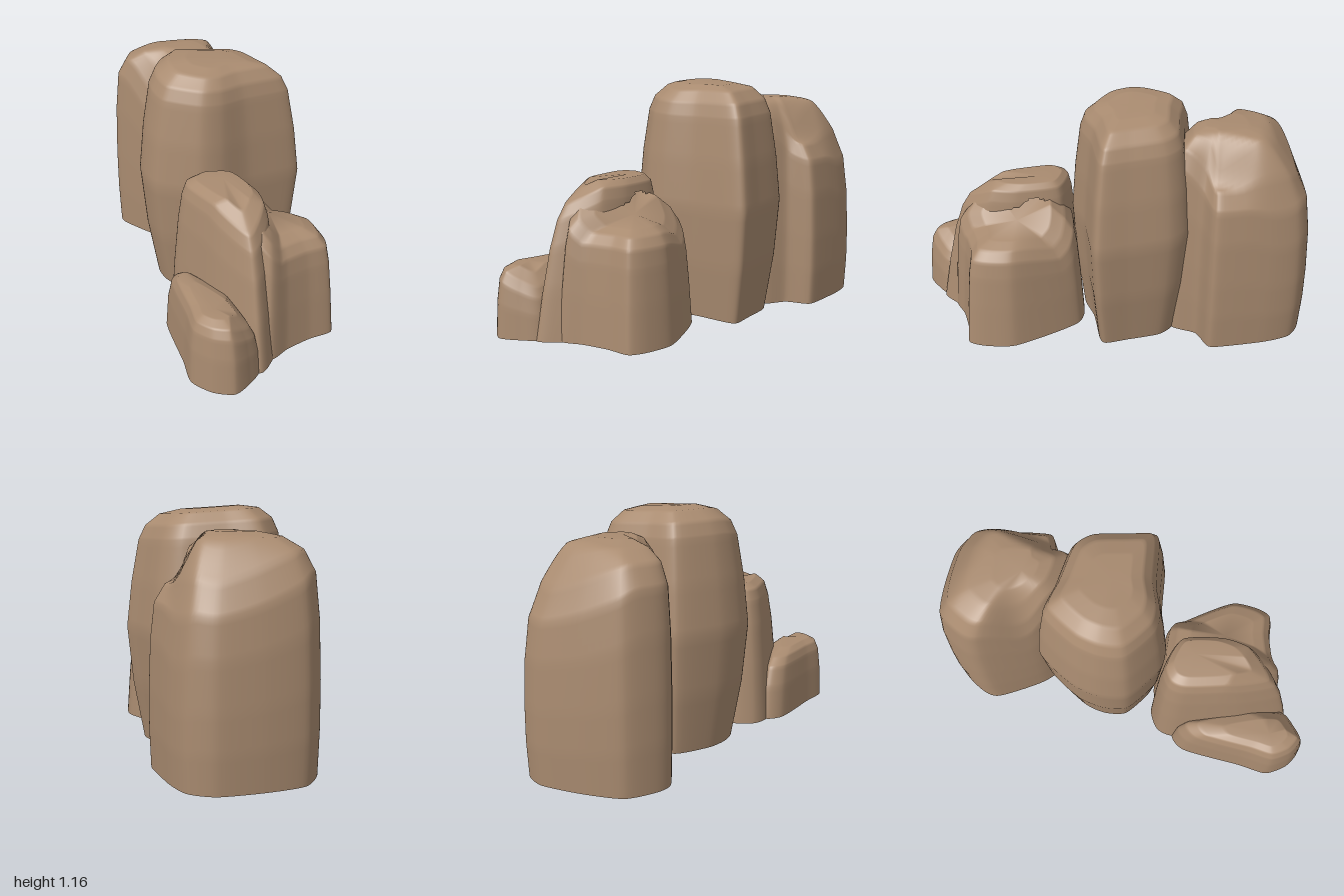
import * as THREE from 'three';

const SEGMENTS = 90;
const BAND_STEPS = 6;
const step = THREE.MathUtils.smoothstep;
const lerp = THREE.MathUtils.lerp;

// outline: plan [x, z]; profile: [height fraction, plan scale]; height: crown height at (x, z)
const rocks = {
  // Broad rear boulder, with a lower left shoulder and a neck running to the tall rock
  rearBoulder: {
    centre: [-0.13, -0.52],
    outline: [[-0.5, -0.58], [-0.52, -0.68], [-0.47, -0.83], [-0.3, -0.93], [-0.1, -1],
      [0.03, -0.97], [0.12, -0.85], [0.23, -0.62], [0.22, -0.57], [0.14, -0.5],
      [0.11, -0.36], [-0.1, -0.32], [-0.3, -0.4]],
    profile: [[0, 0.98], [0.2, 1], [0.4, 1], [0.65, 0.98], [0.84, 0.93],
      [0.93, 0.8], [0.98, 0.56], [1, 0.28]],
    height: (x, z) => 1.06 - 0.17 * step(x, -0.02, 0.14) * step(-z, 0.38, 0.58)
      - 0.22 * step(-z, 0.72, 1.04)
      - 0.22 * step(-x, 0.14, 0.36) * step(z, -0.58, -0.4),
  },
  // Tallest rock, bulging at mid height
  tallRock: {
    centre: [0, -0.12],
    outline: [[-0.1, 0.2], [-0.3, 0.13], [-0.37, 0], [-0.38, -0.15], [-0.31, -0.37],
      [-0.12, -0.4], [0.12, -0.44], [0.24, -0.38], [0.35, -0.2], [0.42, -0.08],
      [0.38, -0.03], [0.16, 0.07], [0.02, 0.17]],
    profile: [[0, 0.8], [0.25, 0.93], [0.5, 1], [0.7, 0.94], [0.88, 0.85],
      [0.94, 0.77], [0.985, 0.6], [1, 0.35]],
    height: (x, z) => 1.15 - 0.07 * x - 0.02 * step(z, -0.1, 0.1),
  },
  // Diagonal fin in front
  frontFin: {
    centre: [0.01, 0.33],
    outline: [[0.13, 0.85], [-0.05, 0.66], [-0.22, 0.38], [-0.23, 0.27], [-0.14, 0.19],
      [0.08, 0.2], [0.22, 0.44], [0.25, 0.62], [0.2, 0.77]],
    profile: [[0, 1.02], [0.4, 0.94], [0.7, 0.86], [0.88, 0.78], [0.96, 0.7], [1, 0.5]],
    height: (x, z) => 0.72 - 0.5 * Math.max(0, z - 0.54),
  },
  // Lower block leaning against the fin
  sideBlock: {
    centre: [0.22, 0.4],
    outline: [[0.29, 0.69], [0.19, 0.77], [0.05, 0.64], [-0.12, 0.22], [0.08, 0.1],
      [0.2, 0.09], [0.32, 0.18], [0.48, 0.34], [0.52, 0.48], [0.51, 0.57], [0.4, 0.62]],
    profile: [[0, 1], [0.4, 0.95], [0.7, 0.9], [0.86, 0.85], [0.95, 0.72], [1, 0.5]],
    height: (x, z) => 0.53 + Math.min(0.13, 1.2 * Math.max(0, 0.25 - x))
      - 0.07 * step(-z, -0.36, -0.12),
  },
  // Small rock at the very front
  frontStone: {
    centre: [-0.06, 0.82],
    outline: [[0.02, 1], [-0.08, 0.98], [-0.17, 0.9], [-0.2, 0.75], [-0.27, 0.45],
      [-0.21, 0.36], [-0.02, 0.58], [0.14, 0.82], [0.09, 0.93]],
    profile: [[0, 1], [0.5, 0.95], [0.8, 0.87], [0.93, 0.74], [1, 0.45]],
    height: (x) => 0.33 - 0.8 * Math.max(0, x),
  },
};

// Smooth closed plan, kept fairly straight between its corners
function makePlan(outline) {
  const points = outline.map(([x, z]) => new THREE.Vector3(x, 0, z));
  return new THREE.CatmullRomCurve3(points, true, 'catmullrom', 0.35)
    .getPoints(SEGMENTS).slice(0, SEGMENTS);
}

// Subdivided [height fraction, scale] rings
function makeRings(profile) {
  const rings = [profile[0]];
  for (let b = 1; b < profile.length; b++) {
    for (let k = 1; k <= BAND_STEPS; k++) {
      rings.push([0, 1].map((c) => lerp(profile[b - 1][c], profile[b][c], k / BAND_STEPS)));
    }
  }
  return rings;
}

// Whether a point lies within a rock's solid
function contains({ centre, plan, rings, height }, x, y, z) {
  const t = y / height(x, z);
  const k = rings.findIndex((ring) => ring[0] >= t);
  if (k < 0) return false;
  const s = rings[k][1];
  const px = centre[0] + (x - centre[0]) / s;
  const pz = centre[1] + (z - centre[1]) / s;
  let inside = false;
  plan.forEach((a, i) => {
    const b = plan[(i + 1) % SEGMENTS];
    if ((a.z > pz) !== (b.z > pz) && px < a.x + ((b.x - a.x) * (pz - a.z)) / (b.z - a.z)) {
      inside = !inside;
    }
  });
  return inside;
}

// Lofts the rings, then removes faces buried in neighbouring rocks so the shells join
function makeGeometry(solid, neighbours) {
  const { centre: [cx, cz], plan, rings, height } = solid;
  const positions = [];
  const indices = [];
  for (const [t, s] of rings) {
    for (const p of plan) {
      const x = cx + (p.x - cx) * s;
      const z = cz + (p.z - cz) * s;
      positions.push(x, t * height(x, z), z);
    }
  }
  const apex = positions.length / 3;
  positions.push(cx, height(cx, cz), cz);
  for (let r = 0; r < rings.length; r++) {
    for (let i = 0; i < SEGMENTS; i++) {
      const a = r * SEGMENTS + i;
      const b = r * SEGMENTS + ((i + 1) % SEGMENTS);
      if (r === rings.length - 1) indices.push(a, apex, b);
      else indices.push(a, a + SEGMENTS, b, b, a + SEGMENTS, b + SEGMENTS);
    }
  }
  const geometry = new THREE.BufferGeometry();
  geometry.setAttribute('position', new THREE.Float32BufferAttribute(positions, 3));
  geometry.setIndex(indices);
  geometry.computeVertexNormals();

  const buried = [];
  for (let v = 0; v <= apex; v++) {
    const point = positions.slice(v * 3, v * 3 + 3);
    buried.push(neighbours.some((other) => contains(other, ...point)));
  }
  const visible = [];
  for (let i = 0; i < indices.length; i += 3) {
    const face = indices.slice(i, i + 3);
    if (!face.every((v) => buried[v])) visible.push(...face);
  }
  geometry.setIndex(visible);
  return geometry;
}

export function createModel() {
  const stone = new THREE.MeshStandardMaterial({ color: 0xa98b70, side: THREE.DoubleSide });
  stone.name = 'brown stone';
  const group = new THREE.Group();
  group.name = 'rockFormation';
  const solids = Object.entries(rocks).map(([name, rock]) => ({
    ...rock, name, plan: makePlan(rock.outline), rings: makeRings(rock.profile),
  }));
  for (const solid of solids) {
    const neighbours = solids.filter((other) => other !== solid);
    const mesh = new THREE.Mesh(makeGeometry(solid, neighbours), stone);
    mesh.name = solid.name;
    group.add(mesh);
  }
  return group;
}
